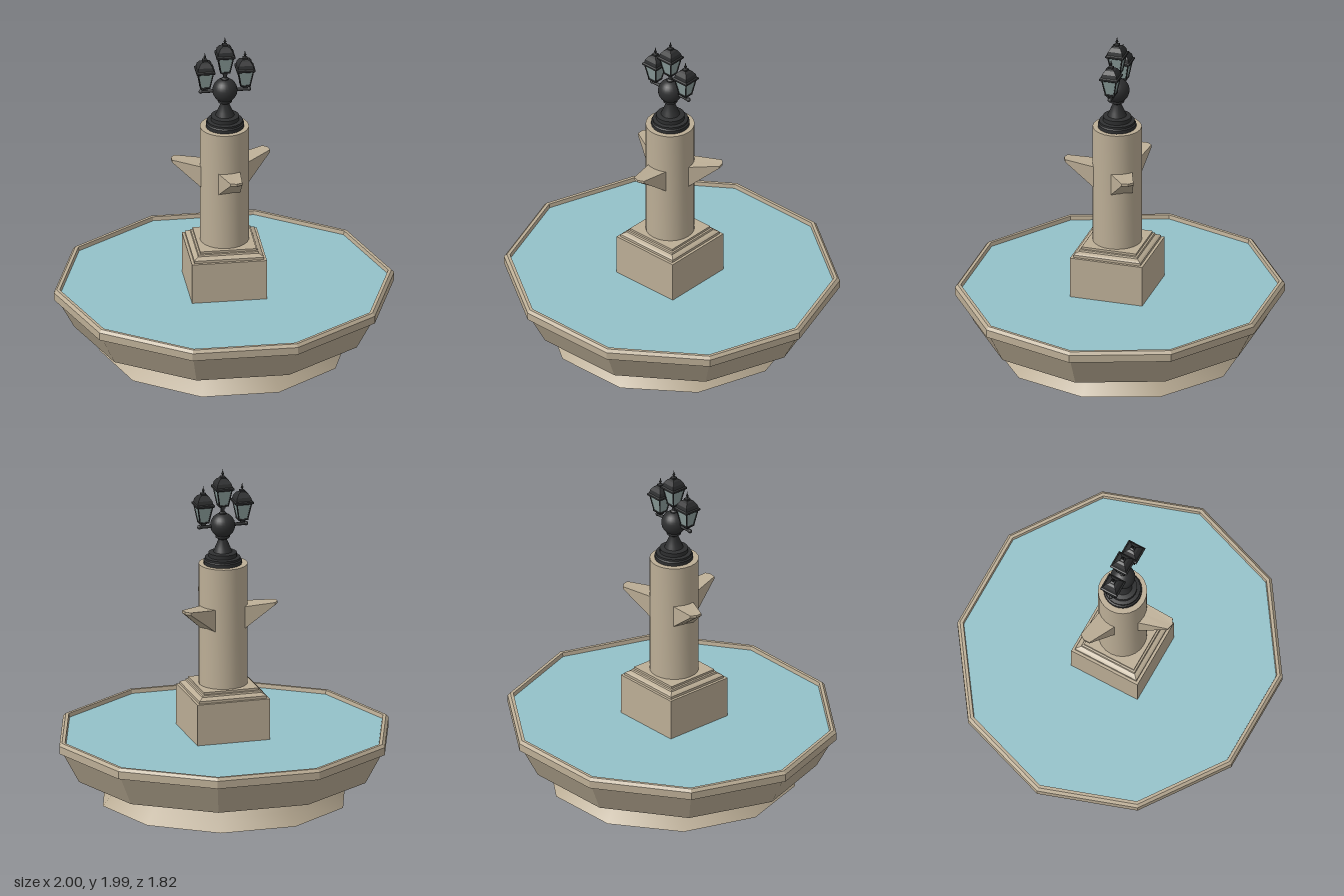
import * as THREE from 'three';
import { toCreasedNormals } from 'three/addons/utils/BufferGeometryUtils.js';

const mat = (color, flatShading = false) => {
  const m = new THREE.MeshStandardMaterial({ flatShading });
  m.color.set(color);
  return m;
};
const stone = mat(0xbcae96);
const stoneFlat = mat(0xbcae96, true);
const water = mat(0x93c1c9);
const metal = mat(0x2e2f30);
const metalFlat = mat(0x2e2f30, true);
const glass = mat(0x8c9e9c, true);

const part = (name, geometry, material, parent) => {
  const mesh = new THREE.Mesh(geometry, material);
  mesh.name = name;
  parent.add(mesh);
  return mesh;
};

// Revolved profile, listed as [radius, y] from the bottom up
const lathe = (profile, sides, start = Math.PI / 2) =>
  new THREE.LatheGeometry(profile.map(([r, y]) => new THREE.Vector2(r, y)), sides, start);
const turned = (profile, sides) => toCreasedNormals(lathe(profile, sides), 0.6);

// Square profile, listed as [half width, y]
const square = (profile) => lathe(profile.map(([r, y]) => [r * Math.SQRT2, y]), 4, Math.PI / 4);

// Thin rod between two points
function rod(a, b, radius, sides = 6) {
  const d = b.clone().sub(a);
  const g = new THREE.CylinderGeometry(radius, radius, d.length(), sides);
  g.applyQuaternion(new THREE.Quaternion().setFromUnitVectors(new THREE.Vector3(0, 1, 0), d.normalize()));
  const c = a.clone().add(b).multiplyScalar(0.5);
  return g.translate(c.x, c.y, c.z);
}

// Tapering wedge with a flat top and a softly rounded lip, pointing along +z
function spoutGeometry() {
  const g = new THREE.BoxGeometry(2, 2, 2, 2, 1, 1);
  const p = g.attributes.position;
  for (let i = 0; i < p.count; i++) {
    const tip = p.getZ(i) > 0, top = p.getY(i) > 0, side = p.getX(i);
    const y = tip ? (top ? 1.183 : 1.168) : (top ? 1.163 : 1.012);
    const z = tip ? 0.315 - 0.012 * Math.abs(side) : 0.1;
    p.setXYZ(i, side * (tip ? 0.036 : 0.068), y, z);
  }
  return g;
}

// Four-sided lantern standing on its own y = 0
function lantern(name) {
  const g = new THREE.Group();
  g.name = name;
  part('lanternBase', square([[0, 0], [0.014, 0], [0.014, 0.01], [0.03, 0.016], [0.03, 0.024], [0, 0.024]]), metalFlat, g);
  part('lanternGlass', square([[0.025, 0.022], [0.043, 0.118]]), glass, g);
  for (const [x, z] of [[1, 1], [1, -1], [-1, 1], [-1, -1]]) {
    const low = new THREE.Vector3(x * 0.026, 0.02, z * 0.026);
    const high = new THREE.Vector3(x * 0.044, 0.12, z * 0.044);
    part('lanternPost', rod(low, high, 0.004), metalFlat, g);
  }
  part('lanternRoof', square([
    [0, 0.114], [0.047, 0.114], [0.055, 0.12], [0.055, 0.13], [0.047, 0.135],
    [0.042, 0.156], [0.028, 0.177], [0.014, 0.184], [0.014, 0.194], [0, 0.2],
  ]), metalFlat, g);
  part('lanternFinial', turned([
    [0.005, 0.19], [0.004, 0.202], [0.009, 0.21], [0.004, 0.219], [0, 0.24],
  ], 8), metal, g);
  return g;
}

export function createModel() {
  const model = new THREE.Group();
  model.name = 'fountain';

  // Ten-sided foot, with smooth sides
  part('foot', lathe([[0.735, 0], [0.68, 0.07], [0.62, 0.162]], 10), stone, model);
  const under = part('footUnderside', new THREE.CircleGeometry(0.735, 10), stoneFlat, model);
  under.rotation.x = Math.PI / 2;

  // Basin with a chamfered rim, slightly shallower than wide
  const basin = new THREE.Group();
  basin.name = 'basin';
  basin.scale.z = 0.957;
  model.add(basin);
  part('basinShell', lathe([
    [0, 0.16], [0.88, 0.16], [0.975, 0.335], [1, 0.342], [1, 0.388],
    [0.984, 0.405], [0.965, 0.405], [0.958, 0.37],
  ], 10), stoneFlat, basin);
  const pool = part('water', new THREE.CircleGeometry(0.96, 10), water, basin);
  pool.rotation.x = -Math.PI / 2;
  pool.position.y = 0.382;

  // Everything on the central axis sits a little forward
  const centre = new THREE.Group();
  centre.name = 'centrepiece';
  centre.position.z = 0.017;
  model.add(centre);

  part('pedestal', square([
    [0.22, 0.37], [0.22, 0.63], [0.204, 0.63], [0.204, 0.645], [0.195, 0.652],
    [0.178, 0.66], [0.175, 0.67], [0.165, 0.672], [0.165, 0.685], [0, 0.685],
  ]), stoneFlat, centre);
  part('column', turned([[0.143, 0.68], [0.143, 1.413], [0, 1.413]], 24), stone, centre);

  // Three water spouts around the column
  [5.5, 118.5, -107].forEach((deg) => {
    part('spout', spoutGeometry(), stoneFlat, centre).rotation.y = THREE.MathUtils.degToRad(deg);
  });

  // Lamp stand
  const lamp = new THREE.Group();
  lamp.name = 'lamp';
  lamp.position.x = 0.003;
  centre.add(lamp);
  part('lampStand', turned([
    [0.112, 1.41], [0.112, 1.434], [0.104, 1.44], [0.104, 1.452], [0.083, 1.456],
    [0.083, 1.48], [0.055, 1.485], [0.045, 1.51], [0.026, 1.555], [0.026, 1.562],
    [0.042, 1.572], [0.042, 1.585], [0.02, 1.6],
  ], 24), metal, lamp);
  part('globe', new THREE.SphereGeometry(0.073, 24, 16).translate(0, 1.645, 0), metal, lamp);
  part('upperStem', turned([
    [0.022, 1.7], [0.022, 1.72], [0.012, 1.728], [0.012, 1.755],
  ], 12), metal, lamp);

  // Arms and the lanterns they carry
  for (const s of [-1, 1]) {
    part('arm', rod(new THREE.Vector3(0, 1.643, 0), new THREE.Vector3(s * 0.146, 1.643, 0), 0.01, 10), metal, lamp);
    part('armEnd', new THREE.SphereGeometry(0.013, 10, 8).translate(s * 0.142, 1.643, 0), metal, lamp);
    const side = lantern('sideLantern');
    side.position.set(s * 0.118, 1.655, 0);
    lamp.add(side);
  }
  const middle = lantern('middleLantern');
  middle.position.y = 1.748;
  lamp.add(middle);

  return model;
}
